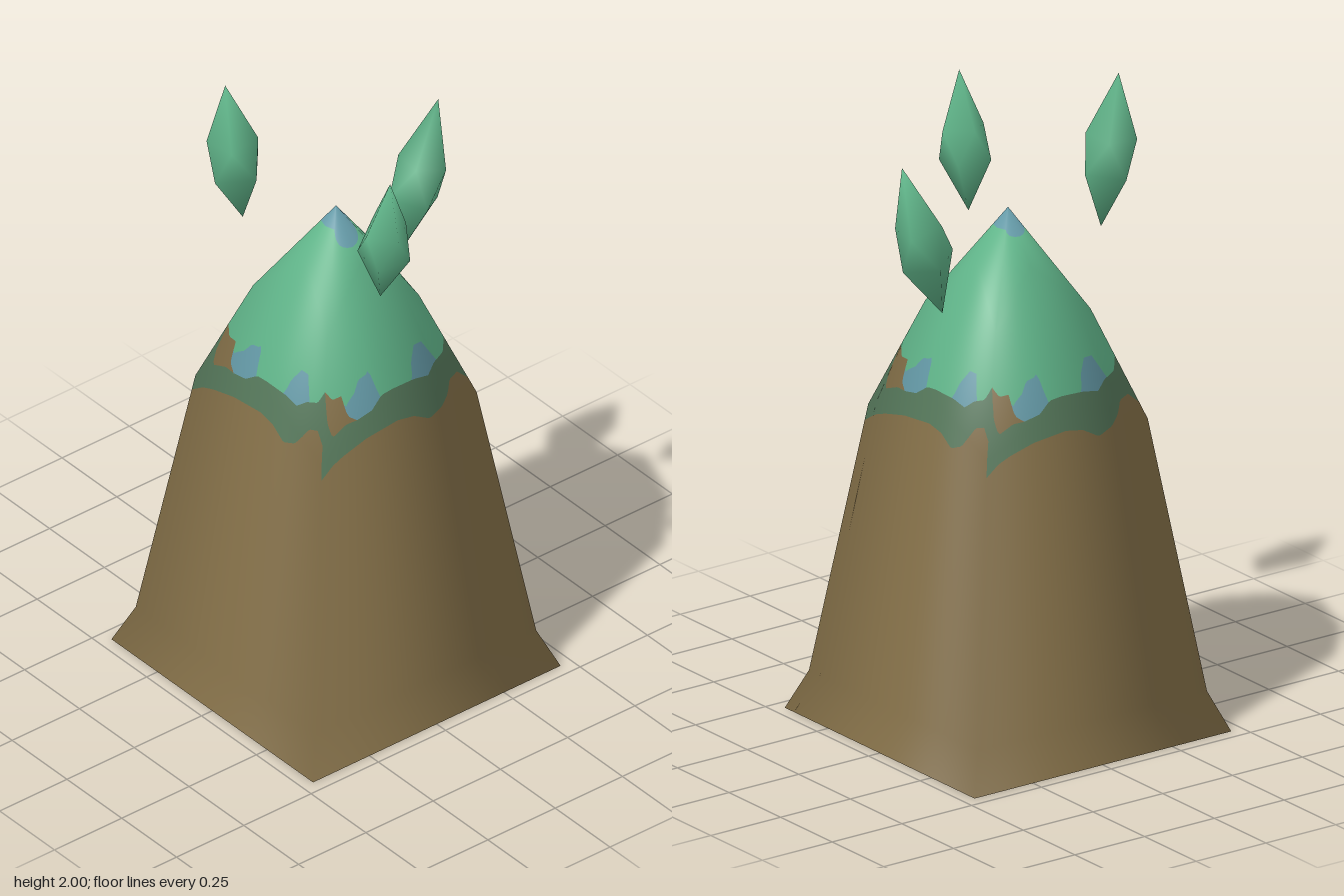
import * as THREE from 'three';

const paint = (name, color) => {
  const m = new THREE.MeshStandardMaterial({ color, side: THREE.DoubleSide });
  m.name = name;
  return m;
};

// Rings of the square spire: corner half-width and height, side-middle depth and height, upward tilt of normal
const RINGS = [
  { c: 0.46, cy: 0, m: 0.46, my: 0, s: 0.35 },
  { c: 0.41, cy: 0.12, m: 0.41, my: 0.12, s: 0.28 },
  { c: 0.288, cy: 0.95, m: 0.27, my: 1.05, s: 0.3 },
  { c: 0.17, cy: 1.28, m: 0.11, my: 1.43, s: 0.65 },
  { c: 0, cy: 1.58, m: 0, my: 1.58, s: 2.5 },
];
const mix = THREE.MathUtils.lerp;
const ringY = (r, u) => mix(r.my, r.cy, Math.abs(u));

// Point and smooth normal on the front side, at u across (-1..1) and height y
function surface(u, y) {
  let i = 0;
  while (i < RINGS.length - 2 && y > ringY(RINGS[i + 1], u)) i++;
  const a = RINGS[i], b = RINGS[i + 1], k = Math.abs(u);
  const y0 = ringY(a, u), t = (y - y0) / (ringY(b, u) - y0);
  const p = new THREE.Vector3(u * mix(a.c, b.c, t), y, mix(mix(a.m, a.c, k), mix(b.m, b.c, k), t));
  const n = new THREE.Vector3(u, mix(a.s, b.s, t), 1).normalize();
  return { p, n };
}

// Piecewise linear curve through [u, y] points
const curve = (pts) => (u) => {
  let i = 0;
  while (i < pts.length - 2 && u > pts[i + 1][0]) i++;
  const [u0, y0] = pts[i], [u1, y1] = pts[i + 1];
  return mix(y0, y1, (u - u0) / (u1 - u0));
};

// Colour zone between two height curves, repeated on all four sides
function zone(lows, highs) {
  const pos = [], nor = [], idx = [];
  const COLS = 60, rows = RINGS.length + 2, up = new THREE.Vector3(0, 1, 0);
  for (let side = 0; side < 4; side++) {
    const lo = lows[side % lows.length], hi = highs[side % highs.length];
    const start = pos.length / 3, heights = [];
    for (let i = 0; i <= COLS; i++) {
      const u = (i / COLS) * 2 - 1, l = lo(u), h = Math.max(l, hi(u));
      const ys = [l, ...RINGS.map((r) => THREE.MathUtils.clamp(ringY(r, u), l, h)), h];
      heights.push(ys);
      for (const y of ys) {
        const { p, n } = surface(u, y);
        pos.push(...p.applyAxisAngle(up, (side * Math.PI) / 2).toArray());
        nor.push(...n.applyAxisAngle(up, (side * Math.PI) / 2).toArray());
      }
    }
    for (let i = 0; i < COLS; i++) {
      for (let j = 0; j < rows - 1; j++) {
        const a = start + i * rows + j, b = a + rows;
        if (heights[i + 1][j + 1] - heights[i + 1][j] > 1e-6) idx.push(a, b, b + 1);
        if (heights[i][j + 1] - heights[i][j] > 1e-6) idx.push(a, b + 1, a + 1);
      }
    }
  }
  return makeGeometry(pos, idx, nor);
}

function makeGeometry(pos, idx, nor) {
  const g = new THREE.BufferGeometry();
  g.setAttribute('position', new THREE.Float32BufferAttribute(pos, 3));
  g.setIndex(idx);
  if (nor) g.setAttribute('normal', new THREE.Float32BufferAttribute(nor, 3));
  else g.computeVertexNormals();
  return g;
}

// Crystal: a square ring and a smaller one turned 45 degrees above it, between two points
function crystal(bottom, top, radius, twist) {
  const b = new THREE.Vector3(...bottom), t = new THREE.Vector3(...top);
  const axis = t.clone().sub(b), len = axis.length();
  const turn = new THREE.Quaternion().setFromUnitVectors(new THREE.Vector3(0, 1, 0), axis.normalize());
  const pos = [...bottom], idx = [];
  [[0.36, radius], [0.59, radius * 0.88]].forEach(([f, r], k) => {
    for (let i = 0; i < 4; i++) {
      const a = twist + ((i + k / 2) * Math.PI) / 2;
      const v = new THREE.Vector3(Math.sin(a) * r, f * len, Math.cos(a) * r);
      pos.push(...v.applyQuaternion(turn).add(b).toArray());
    }
  });
  pos.push(...top);
  for (let i = 0; i < 4; i++) {
    const n = (i + 1) % 4, lo = 1 + i, lo2 = 1 + n, hi = 5 + i, hi2 = 5 + n;
    idx.push(0, lo2, lo, lo, lo2, hi, lo2, hi2, hi, hi, hi2, 9);
  }
  return makeGeometry(pos, idx);
}

export function createModel() {
  const group = new THREE.Group();
  const earth = paint('earth brown', 0x826e47);
  const moss = paint('dull moss', 0x55775a);
  const green = paint('crystal green', 0x60b489);
  const blue = paint('mist blue', 0x6499a6);
  const add = (name, geometry, material) => {
    const mesh = new THREE.Mesh(geometry, material);
    mesh.name = name;
    group.add(mesh);
  };

  // Ragged paint borders across one side
  const ground = () => 0;
  const mossLow = curve([[-1, 0.9], [-0.85, 0.93], [-0.7, 0.945], [-0.4, 0.965], [0, 0.975], [0.2, 0.965],
    [0.38, 0.935], [0.55, 0.955], [0.75, 1.02], [0.9, 1.03], [1, 1.0]]);
  const mossHigh = curve([[-1, 1.14], [-0.93, 1.05], [-0.85, 1.01], [-0.65, 1.03], [-0.5, 1.03],
    [-0.3, 1.04], [-0.15, 1.07], [0, 1.075], [0.3, 1.07], [0.5, 1.06], [0.65, 1.085], [0.85, 1.1], [1, 1.14]]);
  const capLow = curve([[-1, 1.14], [-0.85, 1.11], [-0.7, 1.11], [-0.62, 1.05], [-0.5, 1.03],
    [-0.3, 1.04], [-0.15, 1.07], [0, 1.075], [0.3, 1.07], [0.5, 1.06], [0.65, 1.085], [0.85, 1.1], [1, 1.14]]);
  const spots = curve([[-1, 0], [-0.66, 0], [-0.6, 0.04], [-0.42, 0.1], [-0.25, 0.1], [-0.17, 0],
    [0.28, 0], [0.34, 0.05], [0.48, 0.1], [0.6, 0.08], [0.7, 0], [1, 0]]);
  const spotHigh = (u) => capLow(u) + spots(u);
  const peakLow = [1.475, 1.525, 1.505, 1.525].map((y) => (u) => mix(y, 1.525, u * u));
  const peak = () => 1.58;

  // Hollow spire, open at the bottom, from the ground up
  add('spireBody', zone([ground], [mossLow]), earth);
  add('mossBand', zone([mossLow], [mossHigh]), moss);
  add('bareEarthPatches', zone([mossHigh], [capLow]), earth);
  add('blueSpots', zone([capLow], [spotHigh]), blue);
  add('greenCap', zone([spotHigh], peakLow), green);
  add('bluePeak', zone(peakLow, [peak]), blue);

  // Floating crystals
  add('backCrystal', crystal([-0.2, 1.53, -0.18], [-0.245, 2, -0.205], 0.085, 0.07), green);
  add('frontCrystal', crystal([-0.08, 1.46, 0.3], [-0.08, 1.88, 0.345], 0.078, 0.68), green);
  add('leftCrystal', crystal([0.235, 1.305, 0], [0.38, 1.785, 0], 0.083, -0.18), green);
  return group;
}
